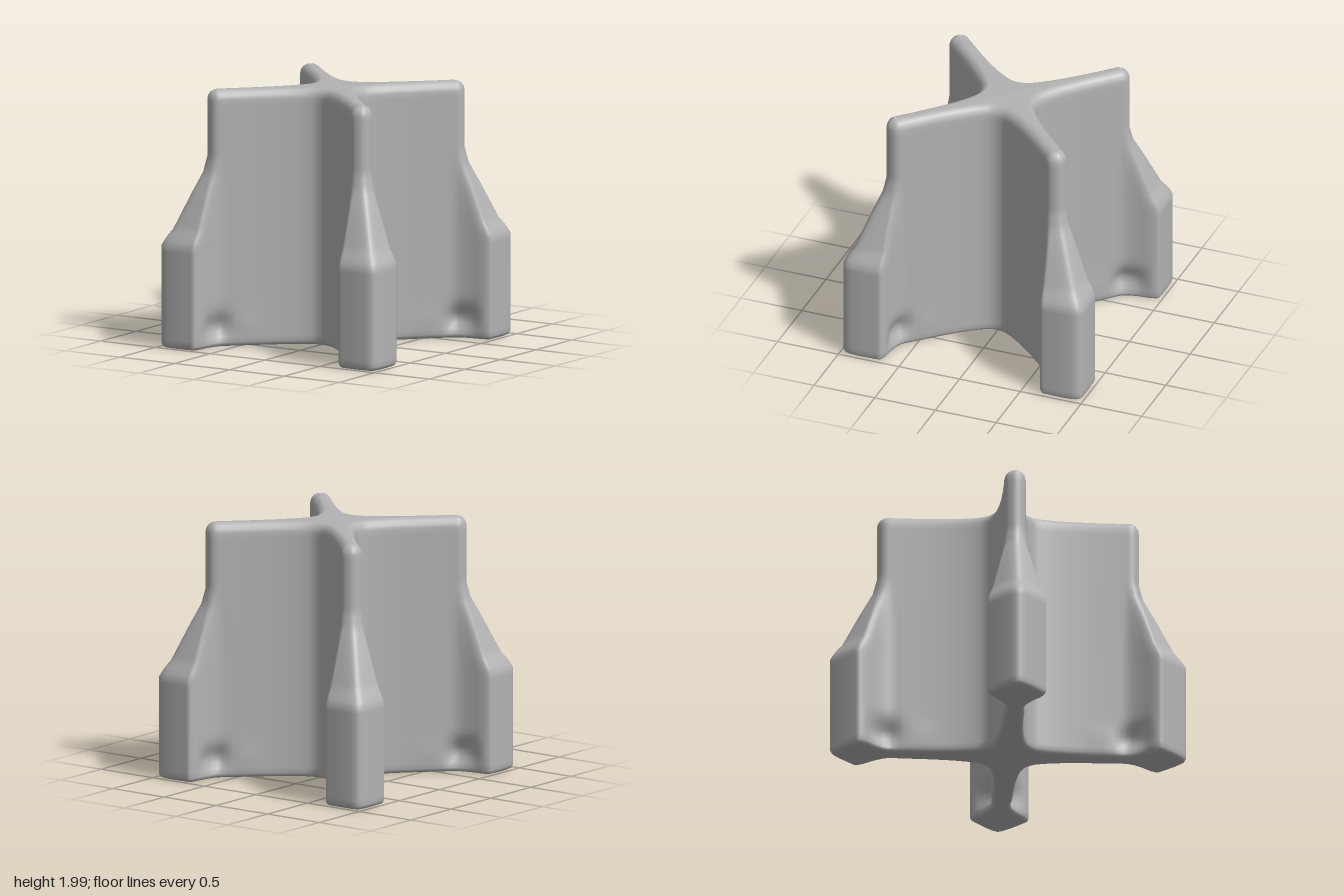
import * as THREE from 'three';

// Half outline of one arm as [distance along arm, half width], valley to tip
const ROOT = [[0.17, 0.17], [0.22, 0.135], [0.344, 0.105], [0.55, 0.086], [0.8, 0.081]];
const SLIM_TIP = [[0.9, 0.082], [0.93, 0.082], [0.955, 0.077], [0.975, 0.064], [0.99, 0.046], [1.003, 0.02], [1.006, 0]];
const FOOT_TIP = [[0.92, 0.085], [1.02, 0.14], [1.1, 0.2], [1.16, 0.225], [1.2, 0.195], [1.335, 0.06], [1.365, 0]];

// How far the slim tip has become the broad foot at each height: [y, amount]
const FLARE = [[0, 1], [0.8, 1], [0.86, 0.9], [0.92, 0.75], [1.2, 0.34], [1.36, 0.09], [1.48, 0], [2, 0]];

function flareAt(y) {
  for (let i = 1; i < FLARE.length; i++) {
    const [y0, a] = FLARE[i - 1], [y1, b] = FLARE[i];
    if (y <= y1) return a + (b - a) * (y - y0) / (y1 - y0);
  }
  return 0;
}

// Closed four-armed outline at height y, moved inwards by inset
function crossSection(y, inset) {
  const t = flareAt(y);
  const pinch = 1 - 0.72 * Math.exp(-(((y - 0.16) / 0.09) ** 2));
  const half = ROOT.concat(SLIM_TIP.map(([u, w], i) => {
    const f = FOOT_TIP[i];
    const squeeze = i === 0 ? pinch : i === 1 ? 0.45 + 0.55 * pinch : 1;
    return [u + (f[0] - u) * t, (w + (f[1] - w) * t) * squeeze];
  }));
  const arm = half.slice(1).map(([u, w]) => [u, -w]).concat(half.slice(0, -1).reverse());

  const control = [];
  for (let k = 0; k < 4; k++) {
    const c = Math.cos(Math.PI / 4 + k * Math.PI / 2), s = Math.sin(Math.PI / 4 + k * Math.PI / 2);
    for (const [u, w] of arm) control.push(new THREE.Vector3(u * c - w * s, u * s + w * c, 0));
  }
  const curve = new THREE.CatmullRomCurve3(control, true, 'centripetal');
  const n = control.length * 3;
  const ring = Array.from({ length: n }, (_, i) => curve.getPoint(i / n));
  return ring.map((p, i) => {
    const d = ring[(i + 1) % n].clone().sub(ring[(i + n - 1) % n]).normalize();
    return new THREE.Vector2(p.x - d.y * inset, p.y + d.x * inset);
  });
}

// Stack the cross-sections, rounding the top and bottom rims
function crossGeometry() {
  const levels = [[0.008, 0.03], [0.018, 0.011], [0.04, 0]];
  for (let y = 0.08; y < 1.9; y += 0.04) levels.push([y, 0]);
  levels.push([1.925, 0], [1.955, 0.007], [1.98, 0.024], [1.994, 0.045], [2, 0.064]);

  const rings = levels.map(([y, inset]) => crossSection(y, inset));
  const n = rings[0].length, positions = [], index = [];
  rings.forEach((ring, j) => ring.forEach((p) => positions.push(p.x, levels[j][0], -p.y)));
  for (let j = 0; j < rings.length - 1; j++) {
    for (let i = 0; i < n; i++) {
      const a = j * n + i, b = j * n + (i + 1) % n;
      index.push(a, b, b + n, a, b + n, a + n);
    }
  }
  // Flat caps
  const top = (rings.length - 1) * n;
  for (const [a, b, c] of THREE.ShapeUtils.triangulateShape(rings[rings.length - 1], [])) {
    index.push(top + a, top + b, top + c);
  }
  for (const [a, b, c] of THREE.ShapeUtils.triangulateShape(rings[0], [])) index.push(c, b, a);

  const geometry = new THREE.BufferGeometry();
  geometry.setAttribute('position', new THREE.Float32BufferAttribute(positions, 3));
  geometry.setIndex(index);
  geometry.computeVertexNormals();
  return geometry;
}

export function createModel() {
  const group = new THREE.Group();
  group.name = 'crossStand';
  const grey = new THREE.MeshStandardMaterial({ color: 0xb3b3b3 });
  grey.name = 'plain grey';
  const body = new THREE.Mesh(crossGeometry(), grey);
  body.name = 'finnedCrossBody';
  group.add(body);
  return group;
}
